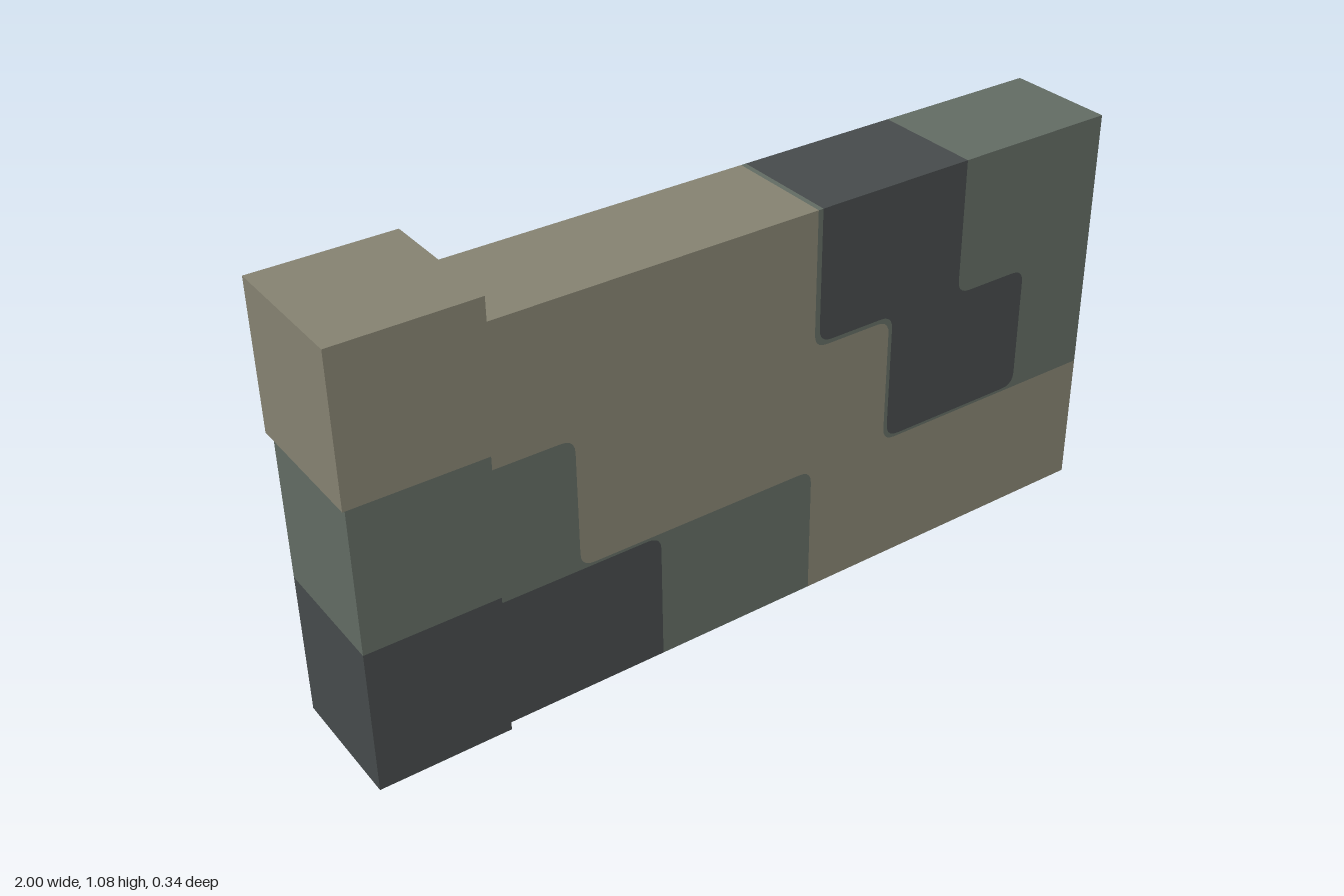
import * as THREE from 'three';

const WALL_HALF = 0.138;   // half thickness of the wall
const END = -0.672;        // where the wall meets the pillar
const R = 0.035;           // rounding of the camouflage patches

function paint(name, color) {
  const m = new THREE.MeshStandardMaterial({ color });
  m.name = name;
  return m;
}

// Closed outline from [x, y, rounded] points
function outline(points) {
  const shape = new THREE.Shape();
  const n = points.length;
  const v = points.map(([x, y]) => new THREE.Vector2(x, y));
  points.forEach(([x, y, rounded], i) => {
    const toward = (q) => v[i].clone().add(q.clone().sub(v[i]).setLength(R));
    const a = rounded ? toward(v[(i + n - 1) % n]) : v[i];
    if (i === 0) shape.moveTo(a.x, a.y);
    else shape.lineTo(a.x, a.y);
    if (rounded) {
      const b = toward(v[(i + 1) % n]);
      shape.quadraticCurveTo(x, y, b.x, b.y);
    }
  });
  shape.closePath();
  return shape;
}

export function createModel() {
  const tan = paint('tan', 0x858271);
  const green = paint('grey green', 0x626b63);
  const dark = paint('dark grey', 0x464a4b);
  const model = new THREE.Group();
  model.name = 'camouflageWall';

  const wall = new THREE.Group();
  wall.name = 'wall';
  model.add(wall);

  // Full-thickness slice of the wall
  function slice(name, points, material) {
    const geo = new THREE.ExtrudeGeometry(outline(points), {
      depth: WALL_HALF * 2, bevelEnabled: false, curveSegments: 5,
    });
    geo.translate(0, 0, -WALL_HALF);
    const mesh = new THREE.Mesh(geo, material);
    mesh.name = name;
    wall.add(mesh);
  }

  function block(name, x0, x1, y0, y1, halfDepth, material) {
    const mesh = new THREE.Mesh(new THREE.BoxGeometry(x1 - x0, y1 - y0, halfDepth * 2), material);
    mesh.position.set((x0 + x1) / 2, (y0 + y1) / 2, 0);
    mesh.name = name;
    model.add(mesh);
  }

  // Shared borders between the patches, so neighbouring slices fit exactly
  const upperGreenEdge = [
    [0.157, 1], [0.157, 0.66, true], [0.372, 0.66, true], [0.372, 0.333, true], [1, 0.333],
  ];
  const upperDarkEdge = [
    [0.17, 1], [0.17, 0.67, true], [0.382, 0.67, true], [0.382, 0.34, true],
    [0.787, 0.34, true], [0.787, 0.66, true], [0.58, 0.66, true], [0.58, 1],
  ];
  const lowerGreenEdge = [
    [END, 0.663], [-0.467, 0.663, true], [-0.467, 0.335, true], [0.158, 0.335, true], [0.158, 0],
  ];
  const lowerDarkEdge = [[END, 0.328], [-0.26, 0.328, true], [-0.26, 0]];
  const reversed = (edge) => [...edge].reverse();

  // Wall patches
  slice('upperDarkPatch', upperDarkEdge, dark);
  slice('upperGreenPatch', [...upperGreenEdge, [1, 1], ...reversed(upperDarkEdge)], green);
  slice('lowerDarkPatch', [[END, 0], ...lowerDarkEdge], dark);
  slice('lowerGreenPatch', [...lowerGreenEdge, ...reversed(lowerDarkEdge)], green);
  slice('tanBody', [[END, 1], ...lowerGreenEdge, [1, 0], ...reversed(upperGreenEdge)], tan);

  // Pillar at the end of the wall, with a wider cap
  block('pillarBase', -0.99, END, 0, 0.36, 0.158, dark);
  block('pillarMiddle', -0.99, END, 0.36, 0.72, 0.158, green);
  block('pillarCap', -1, -0.666, 0.72, 1.076, 0.17, tan);

  return model;
}
